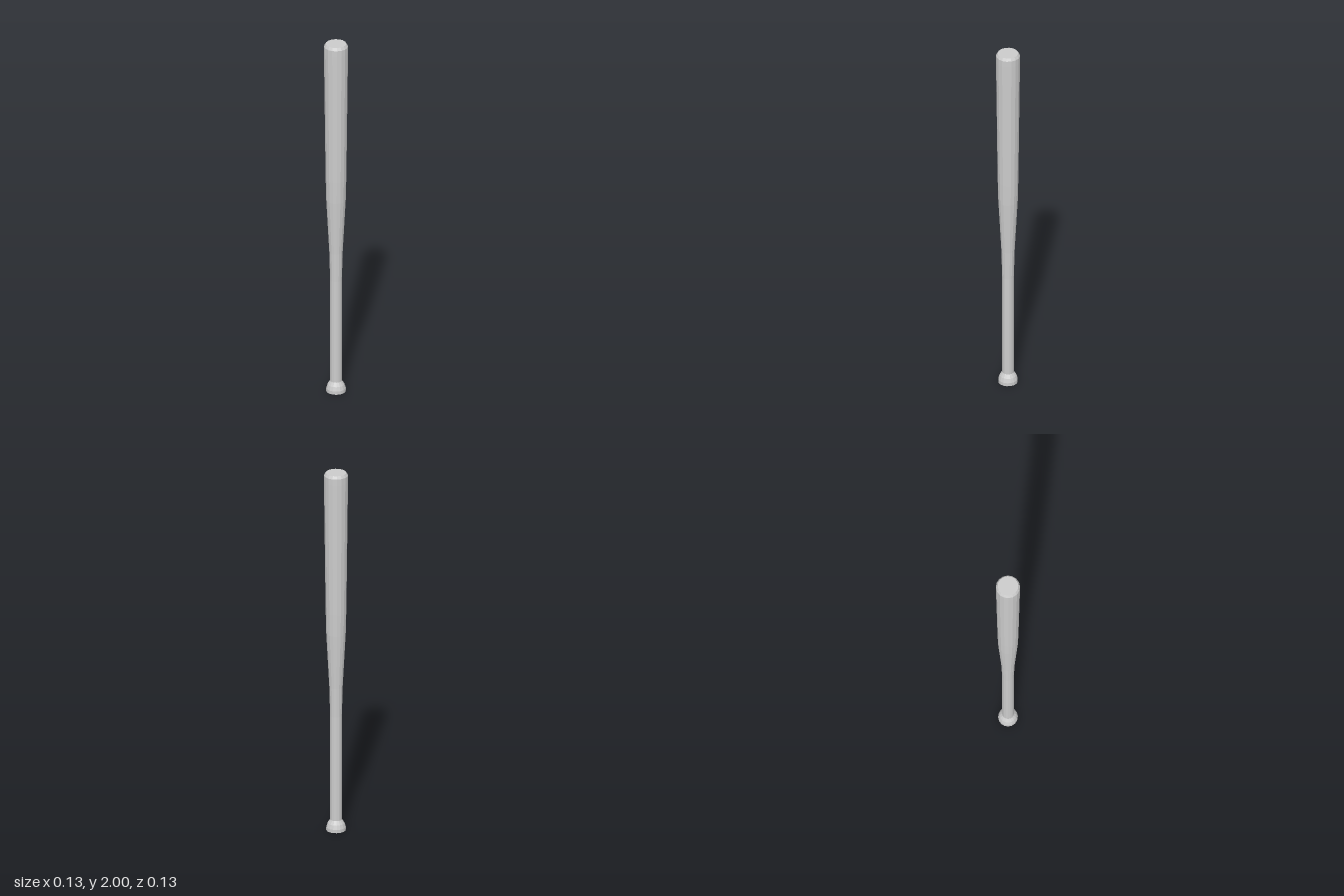
import * as THREE from 'three';

const SIDES = 16;

export function createModel() {
  const group = new THREE.Group();
  group.name = 'bat';
  const material = new THREE.MeshStandardMaterial({ color: 0xcccccc, flatShading: true });

  // Turned part from a profile of [radius, height], bottom to top
  const turned = (name, profile) => {
    const points = profile.map(([r, y]) => new THREE.Vector2(r, y));
    const mesh = new THREE.Mesh(new THREE.LatheGeometry(points, SIDES), material);
    mesh.name = name;
    group.add(mesh);
  };

  // Flared knob with a flat base
  turned('knob', [[0, 0], [0.051, 0], [0.051, 0.018], [0.044, 0.04], [0.031, 0.06]]);

  // Straight grip
  turned('handle', [[0.031, 0.06], [0.031, 0.64]]);

  // Taper swelling into the barrel
  turned('taper', [[0.031, 0.64], [0.035, 0.8], [0.043, 0.95], [0.051, 1.1]]);

  // Barrel with a bevelled flat end
  turned('barrel', [[0.051, 1.1], [0.054, 1.22], [0.057, 1.45], [0.06, 1.7],
    [0.063, 1.95], [0.063, 1.985], [0.054, 2], [0, 2]]);

  return group;
}
